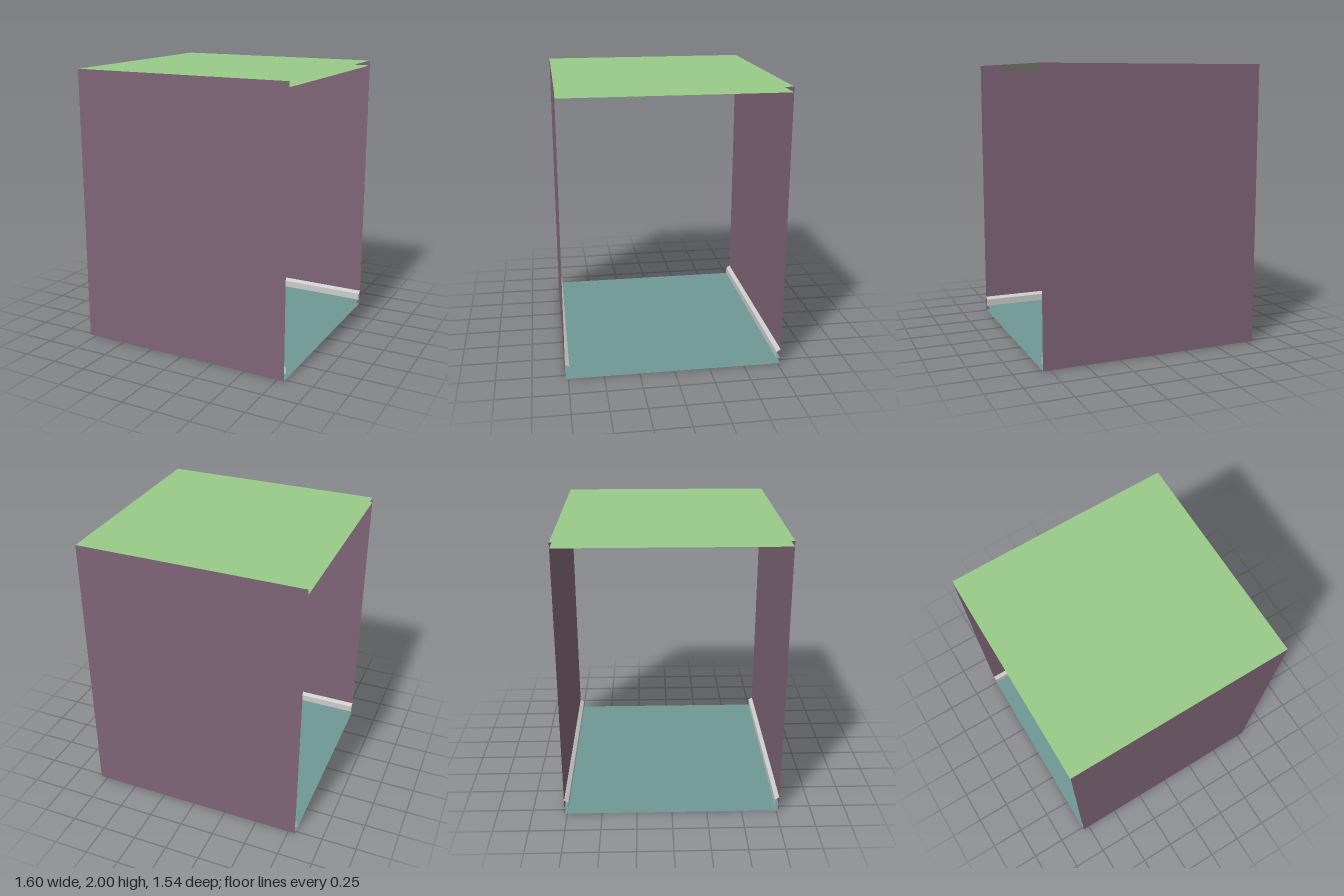
import * as THREE from 'three';

const W = 1.6, D = 1.54, H = 2;      // outer size of the corridor section
const FLOOR = 0.04, CEIL = 1.963;    // inner floor and ceiling heights
const COLS = 3, ROWS = 3;            // ceiling tiles
const TX = W / COLS, TZ = D / ROWS;

const mat = (color) => new THREE.MeshStandardMaterial({ color, side: THREE.DoubleSide });

export function createModel() {
  const model = new THREE.Group();
  const wallMat = mat(0x7f6577), ceilMat = mat(0x98cb88), floorMat = mat(0x6f9895), grey = mat(0xcccccc);

  const add = (parent, name, geometry, material, x = 0, y = 0, z = 0) => {
    const mesh = new THREE.Mesh(geometry, material);
    mesh.name = name;
    mesh.position.set(x, y, z);
    parent.add(mesh);
    return mesh;
  };
  const level = (w, d, up = true) => new THREE.PlaneGeometry(w, d).rotateX(up ? -Math.PI / 2 : Math.PI / 2);

  // Sheet swept from a section: points [a, y], along x or along z, open at its ends
  const sweep = (points, length, alongX) => {
    const pos = [], index = [];
    points.forEach(([a, y]) => {
      for (const s of [-length / 2, length / 2]) pos.push(...(alongX ? [s, y, a] : [a, y, s]));
    });
    for (let i = 0; i < points.length - 1; i++) {
      const k = 2 * i;
      index.push(k, k + 1, k + 2, k + 1, k + 3, k + 2);
    }
    const g = new THREE.BufferGeometry();
    g.setAttribute('position', new THREE.Float32BufferAttribute(pos, 3));
    g.setIndex(index);
    g.computeVertexNormals();
    return g;
  };

  // Outer shell: floor slab, roof and the two side walls, open at both x ends
  add(model, 'underside', level(W, D, false), floorMat);
  add(model, 'roof', level(W, D), ceilMat, 0, H, 0);
  for (const s of [1, -1]) {
    const wall = add(model, 'wall', new THREE.PlaneGeometry(W, H), wallMat, 0, H / 2, s * D / 2);
    if (s < 0) wall.rotation.y = Math.PI;
  }

  // Walking surface and sloped-top skirting on both walls
  add(model, 'floor', level(W, D), floorMat, 0, FLOOR, 0);
  const e = D / 2, t = 0.03;
  for (const turn of [0, Math.PI]) {
    const skirting = new THREE.Group();
    skirting.name = 'skirting';
    skirting.rotation.y = turn;
    add(skirting, 'skirtingTop', sweep([[-e + 0.001, 0.11], [-e + t, 0.092]], W, true), grey);
    add(skirting, 'skirtingFace', sweep([[-e + t, 0.092], [-e + t, FLOOR]], W, true), grey);
    model.add(skirting);
  }

  // Suspended ceiling: tiles around the central light
  const ceiling = new THREE.Group();
  ceiling.name = 'ceiling';
  model.add(ceiling);
  for (let i = 0; i < COLS; i++) {
    for (let j = 0; j < ROWS; j++) {
      if (i === 1 && j === 1) continue;
      add(ceiling, 'ceilingTile', level(TX, TZ, false), ceilMat, (i - 1) * TX, CEIL, (j - 1) * TZ);
    }
  }
  // Fine joint strips between the tiles
  for (const s of [-0.5, 0.5]) {
    add(ceiling, 'jointAlongZ', level(0.005, D, false), ceilMat, s * TX, CEIL - 0.002, 0);
    add(ceiling, 'jointAlongX', level(W, 0.005, false), ceilMat, 0, CEIL - 0.002, s * TZ);
  }

  // Recessed light: flange, housing, curved reflectors and cross fins
  const light = new THREE.Group();
  light.name = 'ceilingLight';
  model.add(light);
  const flange = new THREE.Shape();
  const rect = (path, x, z) => path.moveTo(-x, -z).lineTo(x, -z).lineTo(x, z).lineTo(-x, z).closePath();
  const hx = TX / 2, hz = TZ / 2, ix = hx - 0.018, iz = hz - 0.018;
  rect(flange, hx + 0.004, hz + 0.004);
  const hole = new THREE.Path();
  rect(hole, ix, iz);
  flange.holes.push(hole);
  add(light, 'flange', new THREE.ExtrudeGeometry(flange, { depth: 0.006, bevelEnabled: false }).rotateX(Math.PI / 2),
    grey, 0, CEIL, 0);
  for (const s of [1, -1]) {
    add(light, 'housingEnd', new THREE.PlaneGeometry(2 * hx, 0.036), grey, 0, 1.98, s * (hz - 0.006));
    add(light, 'housingSide', new THREE.PlaneGeometry(2 * hz - 0.012, 0.036).rotateY(Math.PI / 2), grey,
      s * (hx - 0.006), 1.98, 0);
  }

  const troughs = 4, pitch = 2 * ix / troughs;
  const arch = [];
  for (let i = 0; i <= 12; i++) {
    const a = Math.PI * i / 12;
    arch.push([-Math.cos(a) * (pitch / 2 - 0.004), CEIL + Math.sin(a) * 0.034]);
  }
  const reflector = sweep(arch, 2 * iz, false);
  for (let i = 0; i < troughs; i++) {
    add(light, 'reflector', reflector, grey, (i + 0.5 - troughs / 2) * pitch, 0, 0);
  }
  for (let i = 0; i <= troughs; i++) {
    add(light, 'divider', new THREE.BoxGeometry(0.01, 0.012, 2 * iz), grey, (i - troughs / 2) * pitch, CEIL, 0);
  }
  for (let i = 1; i < 6; i++) {
    add(light, 'crossFin', new THREE.BoxGeometry(2 * ix, 0.016, 0.006), grey, 0, CEIL + 0.003, (i / 3 - 1) * iz);
  }
  return model;
}
